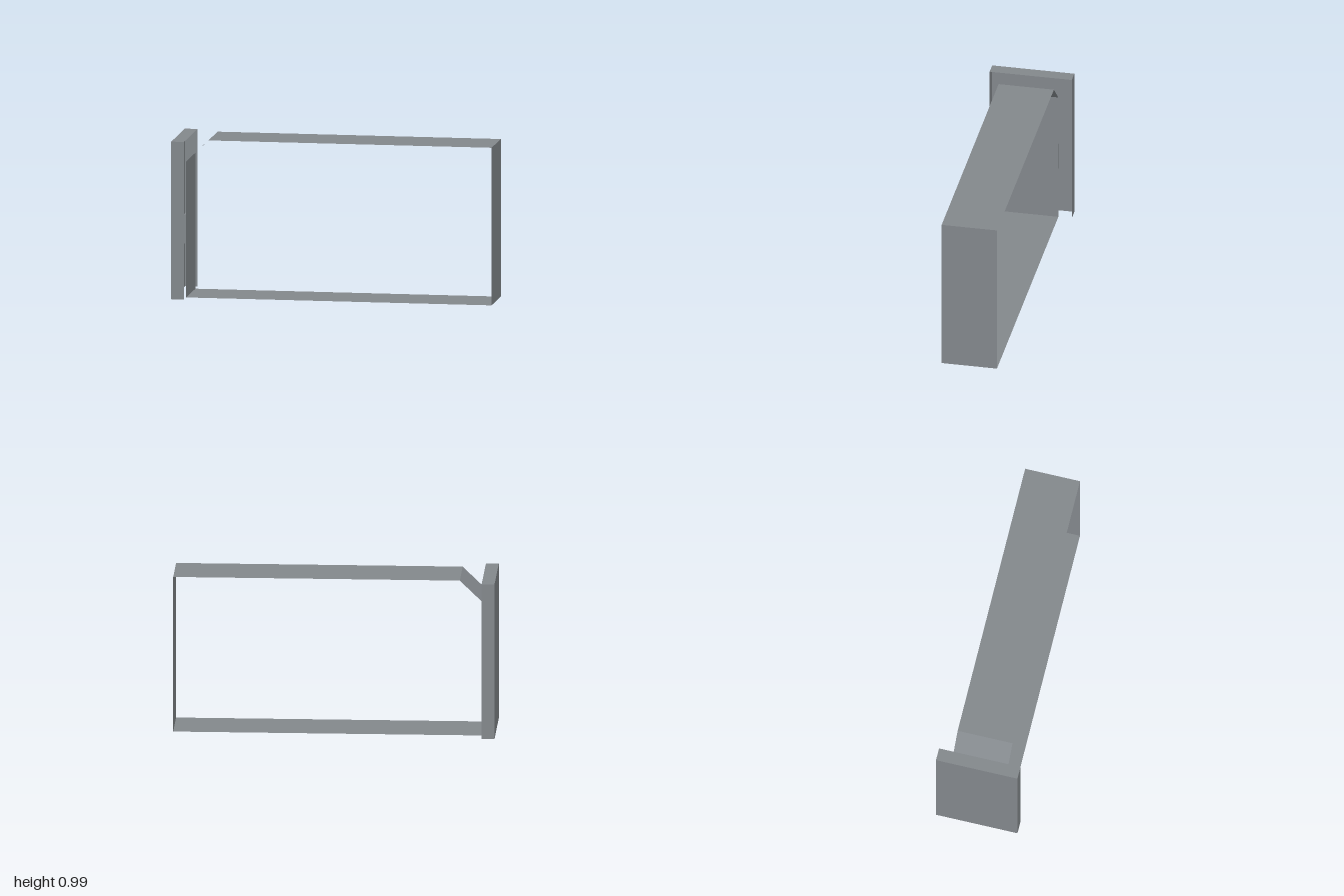
import * as THREE from 'three';

const steel = new THREE.MeshStandardMaterial({ color: 0x83888c, side: THREE.DoubleSide });
steel.name = 'grey steel';

// Thin folded sheet: each profile segment is swept along the given vector
function foldedSheet(name, profile, sweep) {
  const positions = [];
  for (let i = 0; i < profile.length - 1; i++) {
    const a = profile[i], b = profile[i + 1];
    const c = b.clone().add(sweep), d = a.clone().add(sweep);
    for (const p of [a, b, c, a, c, d]) positions.push(p.x, p.y, p.z);
  }
  const geometry = new THREE.BufferGeometry();
  geometry.setAttribute('position', new THREE.Float32BufferAttribute(positions, 3));
  geometry.computeVertexNormals();
  const mesh = new THREE.Mesh(geometry, steel);
  mesh.name = name;
  return mesh;
}

export function createModel() {
  const model = new THREE.Group();
  model.name = 'frameWithWallChannel';
  const v = (x, y, z) => new THREE.Vector3(x, y, z);

  const height = 0.99;
  const wallX = -1, innerX = -0.92;
  const frameHalf = 0.175, channelHalf = 0.26;

  // Open rectangular band with one chamfered corner
  const outline = [[innerX, 0], [1, 0], [1, height], [-0.78, height], [innerX, 0.855], [innerX, 0]];
  model.add(foldedSheet(
    'frameBand',
    outline.map(([x, y]) => v(x, y, -frameHalf)),
    v(0, 0, 2 * frameHalf),
  ));

  // U-shaped channel around the end of the band, open at the bottom
  const channel = new THREE.Group();
  channel.name = 'wallChannel';
  channel.add(foldedSheet(
    'channelSides',
    [
      v(innerX, 0, channelHalf), v(wallX, 0, channelHalf),
      v(wallX, 0, -channelHalf), v(innerX, 0, -channelHalf),
    ],
    v(0, height, 0),
  ));
  channel.add(foldedSheet(
    'channelCap',
    [v(wallX, height, channelHalf), v(innerX, height, channelHalf)],
    v(0, 0, -2 * channelHalf),
  ));
  model.add(channel);

  // Shallow raised pad on the back of the band, facing the channel
  const padX = innerX - 0.016;
  model.add(foldedSheet(
    'mountingPad',
    [[innerX, 0.34], [padX, 0.34], [padX, 0.52], [innerX, 0.52]].map(([x, y]) => v(x, y, -frameHalf)),
    v(0, 0, 2 * frameHalf),
  ));
  for (const [side, z] of [['Front', frameHalf], ['Back', -frameHalf]]) {
    model.add(foldedSheet(
      'mountingPad' + side,
      [v(padX, 0.34, z), v(innerX, 0.34, z)],
      v(0, 0.18, 0),
    ));
  }

  return model;
}
